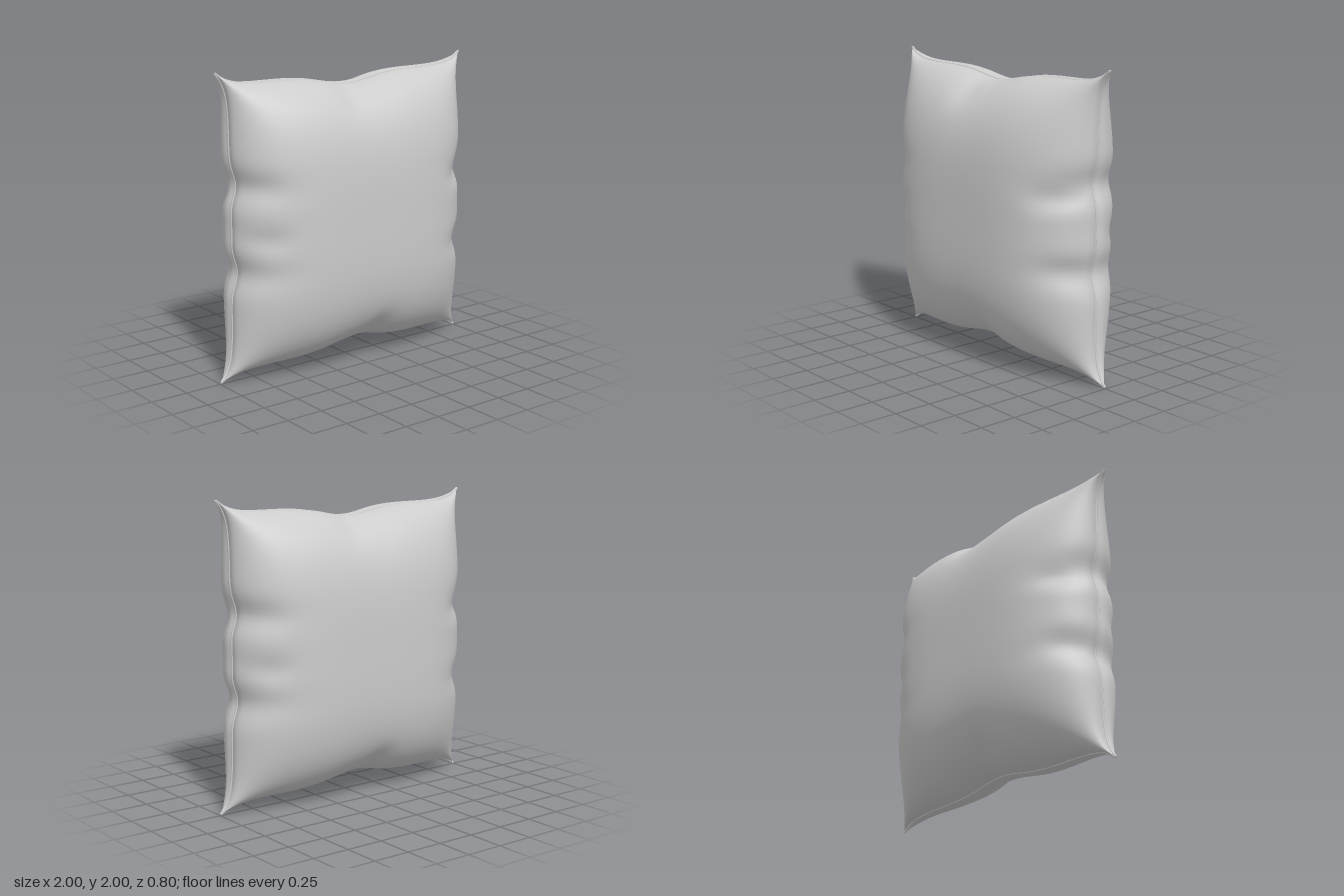
import * as THREE from 'three';

const N = 90;
const bell = (d, w) => Math.exp(-((d / w) ** 2));

// Seam outline: half-width at height v, and half-height at position u; corners reach 1
const halfWidth = v => 0.9 + 0.095 * Math.abs(v) ** 10 - 0.045 * bell(Math.abs(v) - 0.28, 0.11) - 0.01 * bell(v, 0.12);
const halfHeight = u => 0.91 + 0.085 * Math.abs(u) ** 10 - 0.06 * bell(u, 0.26);

// Shallow creases near the edges: x, y, radius x, radius y, depth
const dents = [
  [0.78, 0.2, 0.13, 0.07, 0.035],
  [0.8, -0.25, 0.1, 0.08, 0.02],
  [-0.78, -0.05, 0.12, 0.08, 0.025],
  [-0.8, 0.28, 0.1, 0.08, 0.015],
  [0.1, -0.77, 0.09, 0.1, 0.025],
  [-0.1, 0.8, 0.09, 0.09, 0.025],
];

// Roundness of the stuffing across one direction
const puff = t => Math.sqrt(Math.max(0, 1 - Math.abs(t) ** 3.2));

// Point on the front half, u and v in -1..1
function pillowPoint(u, v) {
  let x = u * (1 - (1 - halfWidth(v)) * Math.abs(u));
  let y = v * (1 - (1 - halfHeight(u)) * Math.abs(v));
  let z = 0.4 * puff(u) * puff(v);
  const inside = Math.min(1, z / 0.12);
  for (const [dx, dy, rx, ry, depth] of dents) {
    z -= depth * inside * bell(x - dx, rx) * bell(y - dy, ry);
  }
  // cloth swells slightly past the stitched seam
  const swell = 0.016 * (1 - bell(z, 0.035));
  x += Math.sign(u) * swell * Math.abs(u) ** 8;
  y += Math.sign(v) * swell * Math.abs(v) ** 8;
  return new THREE.Vector3(x, y, z);
}

function halfGeometry() {
  const geometry = new THREE.PlaneGeometry(2, 2, N, N);
  const pos = geometry.attributes.position;
  // rows are packed more tightly toward the seam
  const pack = t => Math.sin(t * Math.PI / 2);
  for (let i = 0; i < pos.count; i++) {
    const p = pillowPoint(pack(pos.getX(i)), pack(pos.getY(i)));
    pos.setXYZ(i, p.x, p.y, p.z);
  }
  geometry.computeVertexNormals();
  return geometry;
}

// Closed path around the seam
function seamPath() {
  const points = [];
  const steps = 40;
  for (let side = 0; side < 4; side++) {
    for (let i = 0; i < steps; i++) {
      const t = -1 + 2 * i / steps;
      const [u, v] = [[t, -1], [1, t], [-t, 1], [-1, -t]][side];
      points.push(pillowPoint(u, v));
    }
  }
  return new THREE.CatmullRomCurve3(points, true);
}

export function createModel() {
  const model = new THREE.Group();
  model.name = 'cushion';
  const fabric = new THREE.MeshStandardMaterial({ color: 0xcccccc });
  fabric.name = 'light grey fabric';

  // Two matching stuffed halves, back to back
  const half = halfGeometry();
  ['frontCover', 'backCover'].forEach((name, i) => {
    const cover = new THREE.Mesh(half, fabric);
    cover.name = name;
    cover.rotation.y = i * Math.PI;
    model.add(cover);
  });

  // Thin stitched edge
  const seam = new THREE.Mesh(new THREE.TubeGeometry(seamPath(), 400, 0.008, 8, true), fabric);
  seam.name = 'seam';
  model.add(seam);

  model.children.forEach(part => { part.position.y = 1; });
  return model;
}
